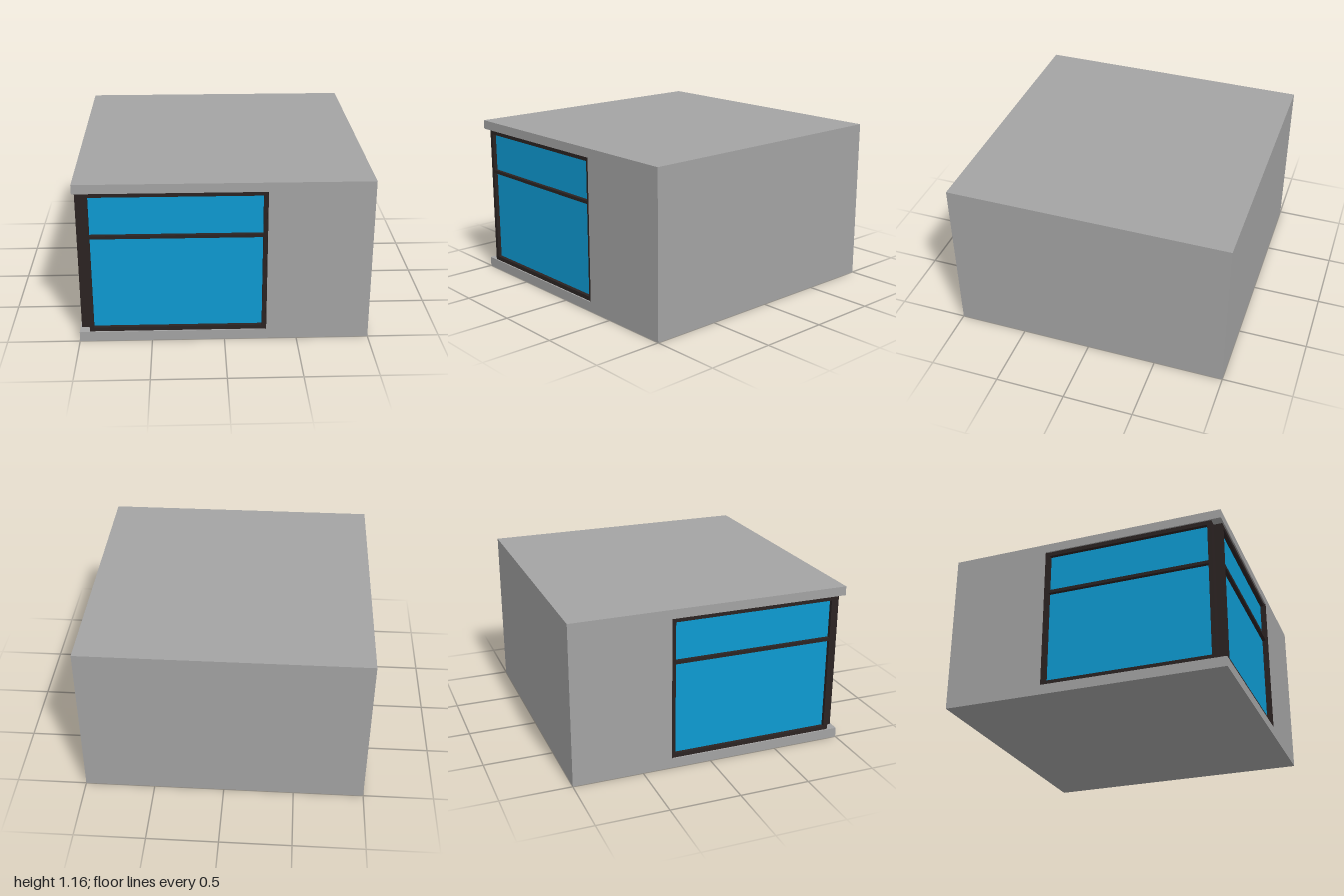
import * as THREE from 'three';

const concrete = new THREE.MeshStandardMaterial({ name: 'concreteGrey', color: 0xa3a3a3 });
const frameDark = new THREE.MeshStandardMaterial({ name: 'frameDark', color: 0x2b2322 });
const glassBlue = new THREE.MeshStandardMaterial({ name: 'glassBlue', color: 0x0d9ad2 });

const H = 1.165;              // total height
const SILL = 0.07, HEAD = 1.1; // window opening
const END = 0.29;             // far jamb of each window
const IN = 0.93;              // inner line of the frames
const FACE = 0.99;            // outer face of the frames
const BAR = 0.03;             // frame bar width

// Box from its limits
function box(name, mat, [x0, x1], [y0, y1], [z0, z1]) {
  const mesh = new THREE.Mesh(new THREE.BoxGeometry(x1 - x0, y1 - y0, z1 - z0), mat);
  mesh.position.set((x0 + x1) / 2, (y0 + y1) / 2, (z0 + z1) / 2);
  mesh.name = name;
  return mesh;
}

// Window along the front wall, or mirrored over the corner onto the left-hand wall
function cornerWindow(name, onSide) {
  const group = new THREE.Group();
  group.name = name;
  const add = (part, mat, x, y, z) => group.add(onSide
    ? box(part, mat, [-z[1], -z[0]], y, [-x[1], -x[0]])
    : box(part, mat, x, y, z));
  const depth = [IN, FACE], inner = [-IN + BAR, END - BAR];
  add('cornerStile', frameDark, [-IN, -IN + BAR], [SILL, HEAD], depth);
  add('wallStile', frameDark, [END - BAR, END - 0.005], [SILL, HEAD], depth);
  add('jambLining', frameDark, [END - 0.005, END], [SILL, HEAD], [IN, 1]);
  add('bottomRail', frameDark, inner, [SILL, SILL + BAR], depth);
  add('topRail', frameDark, inner, [HEAD - BAR, HEAD], depth);
  add('transom', frameDark, inner, [0.77, 0.793], depth);
  add('lowerPane', glassBlue, inner, [SILL + BAR, 0.77], [0.955, 0.963]);
  add('upperPane', glassBlue, inner, [0.793, HEAD - BAR], [0.955, 0.963]);
  return group;
}

export function createModel() {
  const model = new THREE.Group();
  model.name = 'cornerWindowBlock';

  // Floor and roof slabs
  model.add(box('floorSlab', concrete, [-1, 1], [0, SILL], [-1, 1]));
  model.add(box('roofSlab', concrete, [-1, 1], [HEAD, H], [-1, 1]));

  // Walls, stepped in behind the windows at the front corner (plan: x, -z)
  const plan = new THREE.Shape([
    [-1, 1], [-1, END], [-IN, END], [-IN, -IN], [END, -IN], [END, -1], [1, -1], [1, 1],
  ].map(([x, y]) => new THREE.Vector2(x, y)));
  const wallGeo = new THREE.ExtrudeGeometry(plan, { depth: HEAD - SILL, bevelEnabled: false });
  wallGeo.rotateX(-Math.PI / 2).translate(0, SILL, 0);
  const walls = new THREE.Mesh(wallGeo, concrete);
  walls.name = 'walls';
  model.add(walls);

  // The two windows meeting at the corner
  model.add(cornerWindow('frontWindow', false), cornerWindow('sideWindow', true));
  return model;
}
